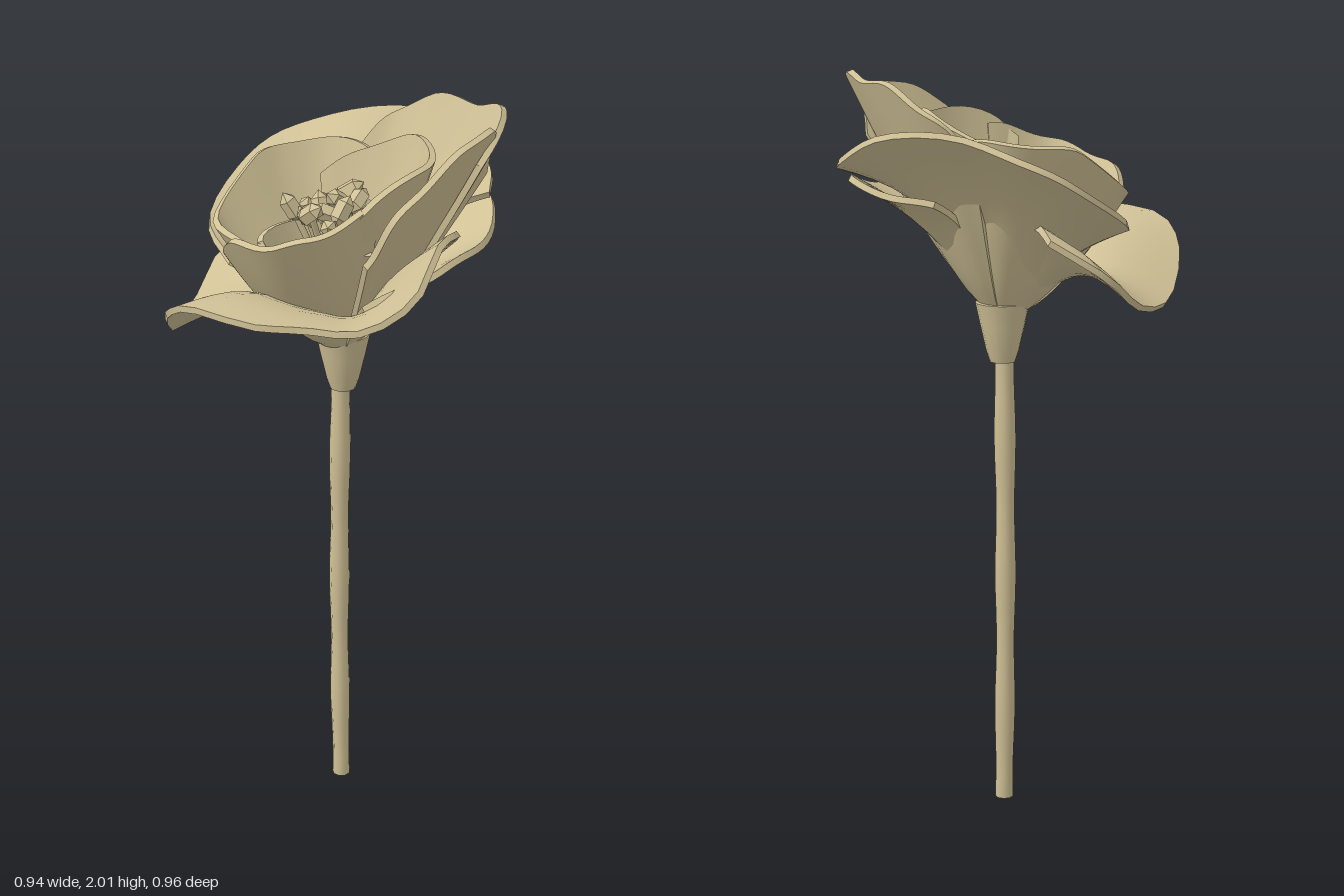
import * as THREE from 'three';
import { toCreasedNormals } from 'three/addons/utils/BufferGeometryUtils.js';

const AXIS_X = -0.018;

// Thin closed petal: sweeps from a small ring at the flower base out to a rim curve.
// Rim points run clockwise seen from above. flare bends the spread,
// lift arches the middle, going from its first to its second value along the rim.
function petalGeometry(rim, { flare = 1, lift = [0, 0], baseY = 1.38, baseR = 0.045, thick = 0.017 }) {
  const nu = 30, nv = 10;
  const curve = new THREE.CatmullRomCurve3(rim.map(p => new THREE.Vector3(...p)), false, 'centripetal');
  const at = (u, v) => {
    const r = curve.getPoint(THREE.MathUtils.clamp(u, 0, 1));
    const dx = r.x - AXIS_X, len = Math.hypot(dx, r.z);
    const rad = baseR + (len - baseR) * Math.pow(v, flare);
    const wave = 0.008 * v * v * Math.sin(u * 19 + rim.length);
    const arch = THREE.MathUtils.lerp(lift[0], lift[1], u) * Math.sin(Math.PI * v);
    return new THREE.Vector3(
      AXIS_X + dx / len * rad,
      baseY + (r.y - baseY) * v + arch + wave,
      r.z / len * rad);
  };
  const pos = [], index = [], loop = 2 * (nv + 1);
  for (let i = 0; i <= nu; i++) {
    const inner = [], outer = [];
    for (let j = 0; j <= nv; j++) {
      const u = i / nu, v = j / nv, e = 0.01;
      const p = at(u, v);
      const du = at(Math.min(u + e, 1), v).sub(at(Math.max(u - e, 0), v));
      const dv = at(u, Math.min(v + e, 1)).sub(at(u, Math.max(v - e, 0)));
      const n = du.cross(dv).normalize().multiplyScalar(thick / 2);
      inner.push(p.clone().add(n));
      outer.push(p.clone().sub(n));
    }
    for (const p of [...inner, ...outer.reverse()]) pos.push(p.x, p.y, p.z);
  }
  const quad = (a, b, c, d) => index.push(a, b, c, a, c, d);
  for (let i = 0; i < nu; i++) {
    for (let j = 0; j < loop; j++) {
      const k = (j + 1) % loop, a = i * loop, b = a + loop;
      quad(a + j, b + j, b + k, a + k);
    }
  }
  // Close both side edges
  const end = nu * loop;
  for (let j = 0; j < nv; j++) {
    const o = loop - 1 - j;
    quad(j, j + 1, o - 1, o);
    quad(end + j, end + o, end + o - 1, end + j + 1);
  }
  const g = new THREE.BufferGeometry();
  g.setAttribute('position', new THREE.Float32BufferAttribute(pos, 3));
  g.setIndex(index);
  return toCreasedNormals(g, 0.7);
}

const outerPetals = {
  outerBackLeftPetal: [[[-0.17, 1.6, 0.24], [-0.38, 1.65, 0.17], [-0.47, 1.73, 0], [-0.45, 1.81, -0.13],
    [-0.33, 1.87, -0.26], [-0.2, 1.86, -0.43], [-0.07, 1.81, -0.48], [0.06, 1.77, -0.43], [0.14, 1.75, -0.36]],
  { flare: 1.25, lift: [0.02, 0.09] }],
  outerBackRightPetal: [[[-0.15, 1.68, -0.26], [-0.07, 1.71, -0.35], [0.08, 1.73, -0.395], [0.22, 1.71, -0.31],
    [0.3, 1.69, -0.19], [0.34, 1.68, -0.06], [0.33, 1.66, 0.05], [0.25, 1.58, 0.12]],
  { flare: 1.2, lift: [0.06, 0] }],
  outerFrontPetal: [[[0.25, 1.71, -0.16], [0.34, 1.76, -0.1], [0.4, 1.78, 0], [0.465, 1.69, 0.13],
    [0.41, 1.61, 0.25], [0.3, 1.6, 0.34], [0.22, 1.61, 0.42], [0, 1.6, 0.48], [-0.13, 1.52, 0.46],
    [-0.26, 1.41, 0.36], [-0.38, 1.43, 0.21], [-0.44, 1.52, 0.09], [-0.36, 1.6, -0.04]],
  { flare: 1.15, lift: [0.01, 0.12] }],
};

const cupPetals = {
  cupBackPetal: [[[-0.2, 1.8, -0.17], [-0.16, 1.91, -0.27], [-0.05, 1.97, -0.33], [0.1, 1.99, -0.35],
    [0.2, 1.99, -0.35], [0.23, 1.88, -0.25]], { flare: 0.82 }],
  cupRightPetal: [[[0.18, 1.84, -0.31], [0.23, 1.97, -0.29], [0.28, 1.95, -0.16], [0.3, 1.89, -0.02],
    [0.295, 1.8, 0.08], [0.27, 1.71, 0.13]], { flare: 0.85 }],
  cupLeftPetal: [[[-0.05, 1.66, 0.24], [-0.22, 1.71, 0.25], [-0.29, 1.8, 0.1], [-0.3, 1.84, 0],
    [-0.25, 1.84, -0.12], [-0.13, 1.84, -0.18], [-0.04, 1.78, -0.17]], { flare: 0.9, lift: [-0.02, -0.02] }],
  cupFrontPetal: [[[0.23, 1.84, 0.06], [0.24, 1.83, 0.16], [0.22, 1.79, 0.26], [0.15, 1.77, 0.32],
    [0.02, 1.74, 0.34], [-0.08, 1.69, 0.31], [-0.12, 1.64, 0.25]], { flare: 0.82, lift: [-0.02, -0.02] }],
  innerBackPetal: [[[-0.19, 1.77, -0.06], [-0.12, 1.85, -0.14], [0, 1.9, -0.21], [0.13, 1.9, -0.18],
    [0.22, 1.89, -0.05], [0.245, 1.86, 0.1], [0.22, 1.8, 0.15]],
  { flare: 0.8, lift: [-0.02, -0.02], baseY: 1.42, baseR: 0.03 }],
  innerFrontPetal: [[[0.2, 1.7, 0.06], [0.15, 1.7, 0.15], [0.07, 1.68, 0.2], [-0.02, 1.64, 0.16],
    [-0.09, 1.67, 0.2], [-0.13, 1.7, 0.08], [-0.1, 1.7, -0.02]],
  { flare: 0.8, lift: [-0.02, -0.02], baseY: 1.44, baseR: 0.03 }],
};

export function createModel() {
  const flower = new THREE.Group();
  flower.name = 'flower';
  const clay = new THREE.MeshStandardMaterial({ color: 0xd0c196 });
  clay.name = 'warm clay';
  const add = (name, geometry, parent = flower) => {
    const m = new THREE.Mesh(geometry, clay);
    m.name = name;
    parent.add(m);
    return m;
  };

  // Slightly knobbly stem
  const stem = new THREE.CylinderGeometry(0.028, 0.026, 1.3, 9, 24).translate(0, 0.65, 0);
  const p = stem.attributes.position;
  for (let i = 0; i < p.count; i++) {
    const y = p.getY(i);
    const swell = 1 + 0.08 * Math.cos((y - 0.27) * Math.PI * 2 / 0.38);
    p.setX(i, p.getX(i) * swell - 0.02 - 0.008 * Math.sin(y * 2.4));
    p.setZ(i, p.getZ(i) * swell - 0.004);
  }
  add('stem', toCreasedNormals(stem, 0.8));

  // Flared cup holding the petals
  const cup = [[0, 1.235], [0.034, 1.24], [0.044, 1.27], [0.06, 1.34], [0.073, 1.4], [0.06, 1.403], [0.04, 1.36], [0, 1.35]]
    .map(q => new THREE.Vector2(...q));
  add('calyx', toCreasedNormals(new THREE.LatheGeometry(cup, 16), 0.7)).position.set(AXIS_X, 0, -0.008);

  for (const [name, [rim, shape]] of Object.entries({ ...outerPetals, ...cupPetals })) {
    add(name, petalGeometry(rim, shape));
  }

  // Stamens: thin filaments with chunky faceted tips
  const stamens = new THREE.Group();
  stamens.name = 'stamens';
  flower.add(stamens);
  const up = new THREE.Vector3(0, 1, 0);
  const root = new THREE.Vector3(-0.01, 1.48, 0.01);
  for (let i = 0; i < 17; i++) {
    const a = i * 2.4, r = 0.115 * Math.sqrt((i + 0.5) / 17);
    const tip = new THREE.Vector3(-0.012 + r * Math.cos(a), 1.79 - r * 0.5 + 0.025 * Math.sin(i * 4.1), 0.025 + r * Math.sin(a));
    const dir = tip.clone().sub(root), len = dir.length();
    const lean = new THREE.Quaternion().setFromUnitVectors(up, dir.normalize());
    const filament = add('filament', new THREE.CylinderGeometry(0.009, 0.009, len, 5), stamens);
    filament.position.copy(root).lerp(tip, 0.5);
    filament.quaternion.copy(lean);
    const anther = add('anther', toCreasedNormals(new THREE.CapsuleGeometry(0.023, 0.045, 1, 5), 0.3), stamens);
    anther.position.copy(tip);
    anther.quaternion.copy(lean);
    anther.rotateZ(0.9 * Math.sin(i * 2.7));
    anther.rotateX(0.9 * Math.cos(i * 1.9));
  }
  return flower;
}
